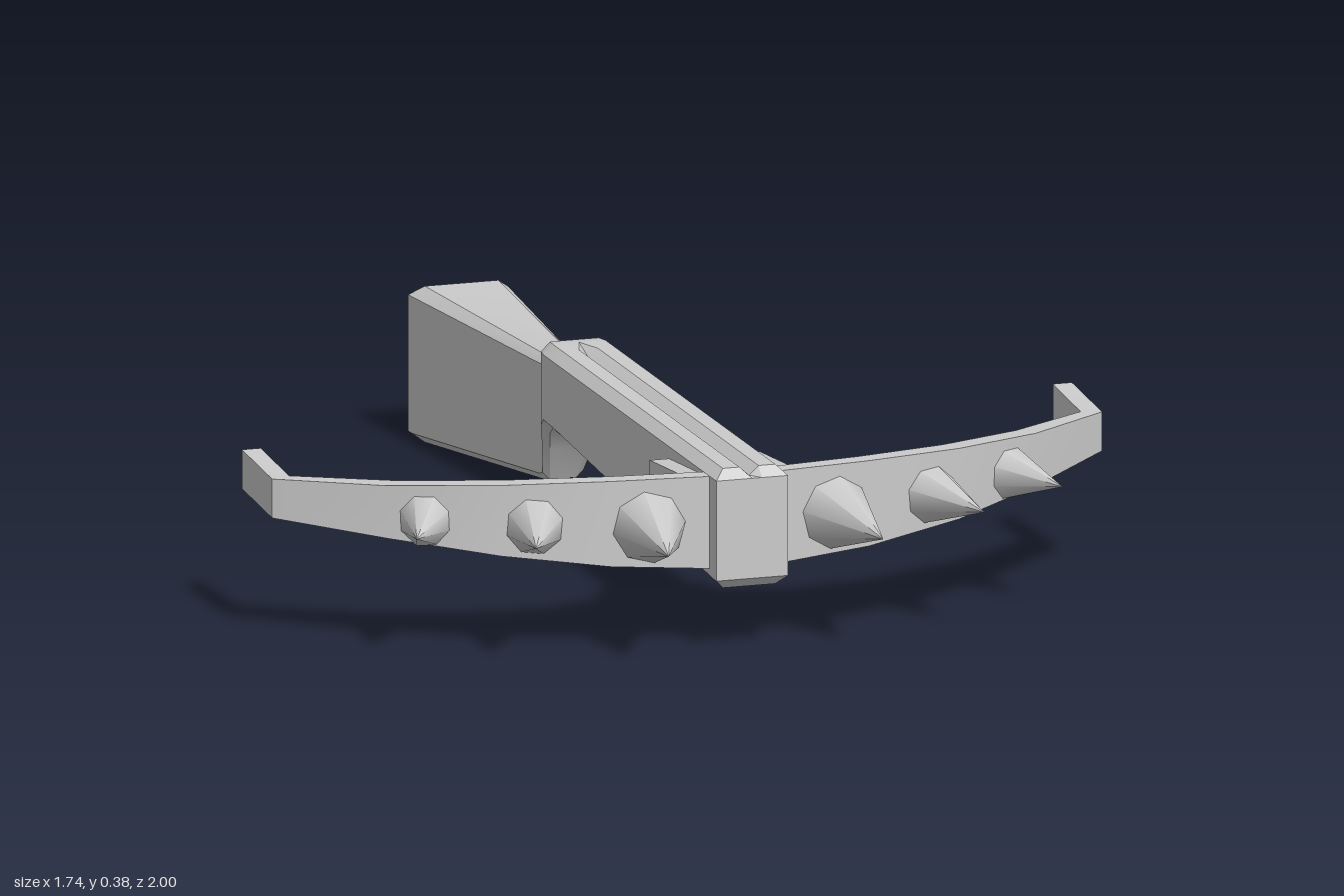
import * as THREE from 'three';
import { toCreasedNormals } from 'three/addons/utils/BufferGeometryUtils.js';

// Skin a list of closed cross-sections (each an array of [x, y, z]) and cap both ends
function loft(sections) {
  const pos = [];
  const tri = (a, b, c) => pos.push(...a, ...b, ...c);
  const n = sections[0].length;
  for (let s = 0; s < sections.length - 1; s++) {
    const p = sections[s], q = sections[s + 1];
    for (let i = 0; i < n; i++) {
      const j = (i + 1) % n;
      tri(p[i], q[i], q[j]);
      tri(p[i], q[j], p[j]);
    }
  }
  const cap = (sec, flip) => {
    const mid = [0, 1, 2].map(k => sec.reduce((t, v) => t + v[k], 0) / n);
    sec.forEach((v, i) => {
      const w = sec[(i + 1) % n];
      if (flip) tri(mid, w, v); else tri(mid, v, w);
    });
  };
  cap(sections[0], false);
  cap(sections[sections.length - 1], true);
  const g = new THREE.BufferGeometry();
  g.setAttribute('position', new THREE.Float32BufferAttribute(pos, 3));
  return toCreasedNormals(g, 0.5);
}

// Mirror sections across x, keeping faces outward
const side = (sections, s) =>
  s > 0 ? sections : sections.map(sec => sec.map(([x, y, z]) => [-x, y, z]).reverse());

// Four-cornered section standing between a back point and a front point
const slab = (back, front, b0, b1, f0, f1) => [
  [back[0], b0, back[1]], [front[0], f0, front[1]],
  [front[0], f1, front[1]], [back[0], b1, back[1]],
];

// Bevelled stock section with a V groove along the top
function stockSection([z, w, y0, y1, c, g, d]) {
  const i = w - c, cy = Math.min(c, 0.02);
  return [
    [-i, y0], [i, y0], [w, y0 + cy], [w, y1 - cy], [i, y1], [g, y1],
    [0, y1 - d], [-g, y1], [-i, y1], [-w, y1 - cy], [-w, y0 + cy],
  ].map(([x, y]) => [x, y, z]);
}

export function createModel() {
  const group = new THREE.Group();
  const mat = new THREE.MeshStandardMaterial({ color: 0xcccccc });
  const add = (name, geo) => {
    const m = new THREE.Mesh(geo, mat);
    m.name = name;
    group.add(m);
    return m;
  };

  // Stock: z, half width, bottom, top, bevel, groove half width, groove depth
  add('stock', loft([
    [0.85, 0.075, 0.15, 0.355, 0, 0.02, 0],
    [0.83, 0.075, 0.13, 0.375, 0.02, 0.02, 0.018],
    [-0.18, 0.075, 0.2, 0.375, 0.02, 0.02, 0.018],
    [-0.24, 0.075, 0.202, 0.375, 0.02, 0, 0],
    [-0.27, 0.07, 0.185, 0.373, 0.019, 0, 0],
    [-0.3, 0.058, 0.145, 0.36, 0.017, 0, 0],
    [-0.34, 0.043, 0.072, 0.325, 0.015, 0, 0],
    [-0.37, 0.041, 0.064, 0.32, 0.015, 0, 0],
    [-0.98, 0.103, 0, 0.32, 0.026, 0, 0],
    [-1, 0.105, 0.02, 0.3, 0, 0, 0],
  ].map(stockSection)));

  // Limb stations: outer point, inner point, rear edge of web, bottom, top
  const limb = [
    { o: [0.06, 0.81], i: [0.06, 0.77], r: [0.09, 0.56], y: [0.165, 0.355] },
    { o: [0.27, 0.775], i: [0.26, 0.735], r: [0.26, 0.61], y: [0.177, 0.352] },
    { o: [0.48, 0.71], i: [0.46, 0.67], r: [0.43, 0.595], y: [0.2, 0.345] },
    { o: [0.68, 0.595], i: [0.65, 0.56], r: [0.62, 0.53], y: [0.225, 0.333] },
    { o: [0.87, 0.44], i: [0.83, 0.425], r: [0.828, 0.424], y: [0.245, 0.325] },
  ];
  // Spikes: base centre, tip, radius
  const spikes = [
    { base: [0.19, 0.255, 0.755], tip: [0.225, 0.248, 1], r: 0.085 },
    { base: [0.405, 0.26, 0.695], tip: [0.47, 0.26, 0.9], r: 0.07 },
    { base: [0.602, 0.265, 0.61], tip: [0.677, 0.265, 0.77], r: 0.062 },
  ];

  for (const s of [1, -1]) {
    const tag = s > 0 ? 'left' : 'right';

    // Curved limb ending in a backward hook
    const rim = limb.map(({ o, i, y }) => slab(i, o, ...y, ...y));
    rim.push(slab([0.83, 0.25], [0.87, 0.25], 0.26, 0.34, 0.26, 0.34));
    add(tag + 'Limb', loft(side(rim, s)));

    // Wedge-shaped web recessed behind the limb
    add(tag + 'Web', loft(side(limb.map(({ o, i, r, y }) => {
      const mid = (y[0] + y[1]) / 2, h = (y[1] - y[0]) * 0.33;
      const f = [(o[0] + i[0]) / 2, (o[1] + i[1]) / 2];
      return slab(r, f, mid - 0.012, mid + 0.012, mid - h, mid + h);
    }), s)));

    // Tapered mount joining limb and stock
    add(tag + 'Mount', loft(side([0.06, 0.115].map(x =>
      slab([x, 0.55], [x, 0.785], 0.21, 0.33, 0.175, 0.35)), s)));

    // Row of spikes along the front of the limb
    spikes.forEach(({ base, tip, r }, k) => {
      const a = new THREE.Vector3(base[0] * s, base[1], base[2]);
      const dir = new THREE.Vector3(tip[0] * s, tip[1], tip[2]).sub(a);
      const cone = new THREE.ConeGeometry(r, dir.length(), 8);
      cone.translate(0, dir.length() / 2, 0);
      const m = add(tag + 'Spike' + (k + 1), cone);
      m.position.copy(a);
      m.quaternion.setFromUnitVectors(new THREE.Vector3(0, 1, 0), dir.normalize());
    });
  }
  return group;
}
